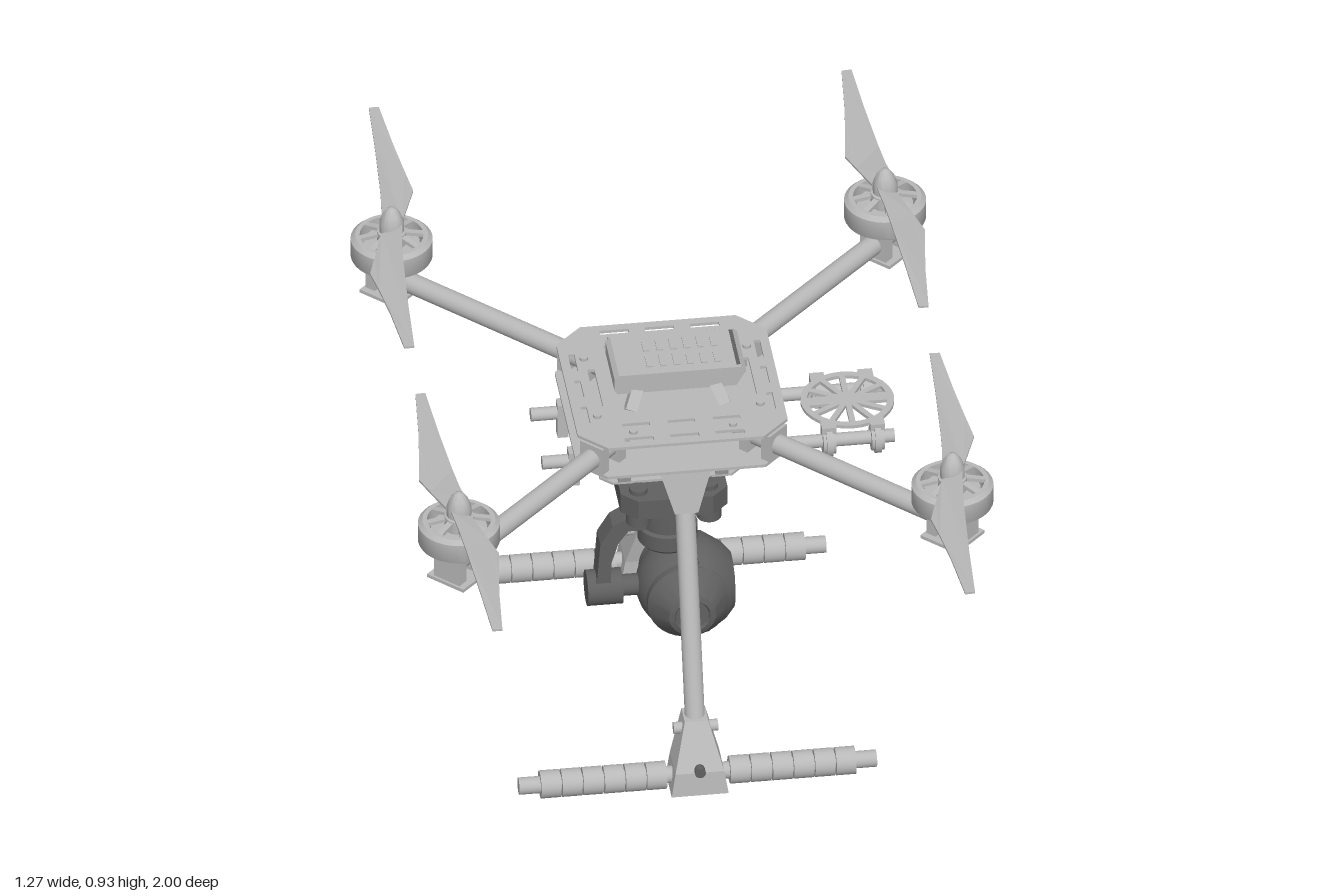
import * as THREE from 'three';
import { toCreasedNormals } from 'three/addons/utils/BufferGeometryUtils.js';

export function createModel() {
  const root = new THREE.Group();
  root.name = 'quadcopter';
  const mat = (name, color) => Object.assign(new THREE.MeshStandardMaterial({ color }), { name });
  const light = mat('light grey', 0xb8b8b8);
  const dark = mat('dark grey', 0x606060);

  const add = (name, geo, m = light, x = 0, y = 0, z = 0, parent = root) => {
    const mesh = new THREE.Mesh(geo, m);
    mesh.name = name;
    mesh.position.set(x, y, z);
    parent.add(mesh);
    return mesh;
  };
  const box = (name, w, h, d, x, y, z, m = light, parent = root) =>
    add(name, new THREE.BoxGeometry(w, h, d), m, x, y, z, parent);
  const cyl = (name, r, h, x, y, z, m = light, parent = root, r2 = r) =>
    add(name, new THREE.CylinderGeometry(r2, r, h, 28), m, x, y, z, parent);
  // Cylinder along x
  const cylX = (name, r, x0, x1, y, z, m = light, r2 = r) => {
    const c = cyl(name, r, x1 - x0, (x0 + x1) / 2, y, z, m, root, r2);
    c.rotation.z = -Math.PI / 2;
    return c;
  };
  // Round or square rod between two points
  const rod = (name, a, b, geoOf, m = light) => {
    const p = new THREE.Vector3(...a), q = new THREE.Vector3(...b);
    const mesh = add(name, geoOf(p.distanceTo(q)), m);
    mesh.position.copy(p).lerp(q, 0.5);
    mesh.quaternion.setFromUnitVectors(new THREE.Vector3(0, 1, 0), q.sub(p).normalize());
    return mesh;
  };
  const poly = pts => new THREE.Shape(pts.map(p => new THREE.Vector2(...p)));
  const extrude = (shape, depth) => new THREE.ExtrudeGeometry(shape, { depth, bevelEnabled: false, curveSegments: 16 });
  const flat = (shape, t) => extrude(shape, t).rotateX(-Math.PI / 2);
  const octagon = (a, b, c) => poly([[-a + c, -b], [a - c, -b], [a, -b + c], [a, b - c],
    [a - c, b], [-a + c, b], [-a, b - c], [-a, -b + c]]);
  const lathe = (pts, crease = 0.6) =>
    toCreasedNormals(new THREE.LatheGeometry(pts.map(p => new THREE.Vector2(...p)), 36), crease);
  // Box whose bottom and top have their own size and z position
  const taper = (name, [w0, d0, z0, y0], [w1, d1, z1, y1], m = light) => {
    const g = new THREE.BoxGeometry(1, 1, 1).toNonIndexed(), p = g.attributes.position;
    for (let i = 0; i < p.count; i++) {
      const up = p.getY(i) > 0;
      p.setXYZ(i, p.getX(i) * (up ? w1 : w0), up ? y1 : y0, p.getZ(i) * (up ? d1 : d0) + (up ? z1 : z0));
    }
    g.computeVertexNormals();
    return add(name, g, m);
  };
  const signs = [-1, 1];

  // Body plates, the upper one slotted along its edges
  const slot = (x, y, w, h) => new THREE.Path([[-w, -h], [-w, h], [w, h], [w, -h]]
    .map(([u, v]) => new THREE.Vector2(x + u, y + v)));
  const top = octagon(0.232, 0.232, 0.06);
  for (const s of signs) {
    for (const o of [-0.1, 0, 0.1]) {
      top.holes.push(slot(o, s * 0.205, 0.032, 0.007), slot(s * 0.205, o, 0.007, 0.032));
      top.holes.push(slot(o, s * 0.15, 0.03, 0.006));
    }
    top.holes.push(slot(s * 0.17, 0, 0.008, 0.07));
  }
  add('topPlate', flat(top, 0.007), light, 0, 0.785, 0);
  add('bottomPlate', flat(octagon(0.235, 0.235, 0.06), 0.007), light, 0, 0.711, 0);
  for (const s of signs) for (const t of [-0.11, 0.11]) {
    cyl('plateBolt', 0.009, 0.008, s * 0.18, 0.795, t);
    cyl('plateBolt', 0.009, 0.008, t, 0.795, s * 0.18);
  }

  // Top housing on four splayed feet
  add('topHousing', extrude(poly([[-0.137, 0.832], [-0.13, 0.823], [0.132, 0.823], [0.154, 0.86],
    [0.143, 0.871], [-0.127, 0.871], [-0.137, 0.862]]), 0.15), light, 0, 0, -0.075);
  for (let i = 0; i < 6; i++) for (const s of signs)
    box('vent', 0.014, 0.004, 0.04, -0.055 + i * 0.03, 0.872, s * 0.03);
  box('housingEndStrip', 0.008, 0.004, 0.13, 0.138, 0.871, 0, dark);
  for (const sx of signs) for (const sz of signs)
    rod('housingFoot', [sx * 0.105, 0.788, sz * 0.092], [sx * 0.085, 0.828, sz * 0.06],
      h => new THREE.BoxGeometry(0.026, h, 0.026));

  // Propeller: two opposite blades, pitched and thinning to the tip
  const bladeHalf = [[-0.02, 0.02], [-0.012, 0.08], [-0.006, 0.15], [0.004, 0.3], [0.012, 0.455],
    [0.034, 0.455], [0.046, 0.32], [0.058, 0.22], [0.068, 0.15], [0.05, 0.095], [0.026, 0.02]];
  const blade = (sx, sz, turn) => {
    const g = flat(poly(bladeHalf.map(([u, v]) => [-sx * u * turn, -sz * v * turn])), 0.005);
    const p = g.attributes.position;
    for (let i = 0; i < p.count; i++) {
      const v = Math.abs(p.getZ(i)), u = -sx * turn * p.getX(i);
      p.setY(i, p.getY(i) - (u - 0.02) * 0.4 * (1 - v / 0.5));
    }
    g.computeVertexNormals();
    return g;
  };

  // Four arms, each with body clamps, motor mount, motor and propeller
  for (const sx of signs) for (const sz of signs) {
    const X = sx * 0.545, Z = sz * 0.545, yaw = Math.atan2(sx, sz);
    rod('armTube', [sx * 0.13, 0.75, sz * 0.13], [sx * 0.57, 0.75, sz * 0.57],
      h => new THREE.CylinderGeometry(0.023, 0.023, h, 24));
    for (const d of [0.155, 0.198])
      box('armClamp', 0.062, 0.07, 0.024, sx * d, 0.75, sz * d).rotation.y = yaw;

    const unit = new THREE.Group();
    unit.name = 'motorUnit';
    unit.position.set(X, 0, Z);
    root.add(unit);
    const mount = new THREE.Group();
    mount.name = 'motorMount';
    mount.rotation.y = yaw;
    unit.add(mount);
    for (const y of [0.713, 0.787]) box('mountPlate', 0.1, 0.008, 0.1, 0, y, 0, light, mount);
    for (const z of [-0.032, 0.032]) box('mountClamp', 0.07, 0.07, 0.025, 0, 0.75, z, light, mount);

    cyl('motorBase', 0.055, 0.012, 0, 0.796, 0, light, unit);
    cyl('stator', 0.062, 0.03, 0, 0.822, 0, light, unit);
    add('motorBell', lathe([[0.07, 0.8], [0.088, 0.8], [0.09, 0.804], [0.09, 0.848], [0.08, 0.857],
      [0.07, 0.857], [0.07, 0.8]]), light, 0, 0, 0, unit);
    for (let i = 0; i < 8; i++) {
      const a = i * Math.PI / 4;
      const spoke = box('motorSpoke', 0.055, 0.008, 0.014, Math.cos(a) * 0.05, 0.857, -Math.sin(a) * 0.05, light, unit);
      spoke.rotation.set(0, a, -0.2);
    }
    add('propellerHub', lathe([[0, 0.835], [0.032, 0.835], [0.032, 0.868], [0.027, 0.87], [0.027, 0.893],
      [0.02, 0.912], [0.011, 0.925], [0, 0.93]]), light, 0, 0, 0, unit);
    for (const turn of signs) add('propellerBlade', blade(sx, sz, turn), light, 0, 0.873, 0, unit);
  }

  // Landing gear
  for (const s of signs) {
    rod('legTube', [0, 0.68, s * 0.185], [0, 0.05, s * 0.405], h => new THREE.CylinderGeometry(0.022, 0.022, h, 24));
    taper('legBracket', [0.052, 0.055, s * 0.21, 0.605], [0.116, 0.085, s * 0.178, 0.711]);
    taper('legFoot', [0.126, 0.095, s * 0.41, 0.004], [0.108, 0.09, s * 0.407, 0.06]);
    taper('legSocket', [0.108, 0.09, s * 0.407, 0.06], [0.052, 0.055, s * 0.37, 0.16]);
    for (const sx of signs) {
      const bolt = cylX('footBolt', 0.013, -0.012, 0.012, 0.135, s * 0.38);
      bolt.position.x = sx * 0.037;
    }
    const pivot = cyl('footPin', 0.012, 0.02, 0, 0.065, s * 0.452, dark);
    pivot.rotation.x = Math.PI / 2;
    cylX('skidTube', 0.019, -0.395, 0.395, 0.033, s * 0.41);
    for (const sx of signs) for (let i = 0; i < 6; i++) {
      const x = sx * (0.092 + i * 0.0468);
      cylX('skidSleeve', 0.031, x - 0.0218, x + 0.0218, 0.033, s * 0.41);
    }
  }

  // Accessory rails with clamps
  for (const s of signs) {
    const z = s * 0.092;
    cylX('railTube', 0.015, -0.3, 0.478, 0.668, z);
    for (const x of [-0.11, 0.15, 0.333, 0.44]) {
      cylX('railClamp', 0.03, x - 0.014, x + 0.014, 0.668, z);
      cylX('railClampRim', 0.036, x - 0.007, x + 0.007, 0.668, z);
      box('railClampTop', 0.032, 0.02, 0.03, x, 0.7, z);
    }
    box('railStop', 0.024, 0.085, 0.03, -0.23, 0.653, z);
    // Gimbal hangers
    for (const x of [-0.113, 0.102])
      rod('gimbalHanger', [x, 0.668, z], [x, 0.576, s * 0.05], h => new THREE.BoxGeometry(0.028, h, 0.018));
  }

  // Round accessory plate: rim with radial ribs
  const rim = new THREE.Shape().absarc(0, 0, 0.103, 0, Math.PI * 2);
  rim.holes.push(new THREE.Path().absarc(0, 0, 0.088, 0, Math.PI * 2));
  add('roundPlateRim', flat(rim, 0.008), light, 0.387, 0.702, 0);
  for (let i = 0; i < 6; i++)
    box('roundPlateRib', 0.184, 0.008, i ? 0.013 : 0.03, 0.387, 0.706, 0).rotation.y = i * Math.PI / 6;

  // Gimbal platform with dampers
  add('hangerPlate', flat(octagon(0.157, 0.06, 0.025), 0.006), light, -0.008, 0.571, 0);
  add('gimbalPlatform', flat(octagon(0.118, 0.118, 0.035), 0.048), dark, -0.007, 0.513, 0);
  for (const sx of signs) for (const sz of signs) {
    cyl('damper', 0.027, 0.03, sx * 0.078 - 0.007, 0.497, sz * 0.078, dark);
    cyl('damperCap', 0.02, 0.012, sx * 0.078 - 0.007, 0.566, sz * 0.078, dark);
  }
  add('yawMotor', lathe([[0, 0.375], [0.06, 0.375], [0.066, 0.382], [0.066, 0.418], [0.058, 0.422], [0.058, 0.45],
    [0.066, 0.454], [0.066, 0.48], [0.05, 0.485], [0.05, 0.52], [0, 0.52]]), dark, -0.01, 0, 0);
  add('gimbalArm', extrude(poly([[-0.05, 0.452], [-0.105, 0.452], [-0.135, 0.435], [-0.162, 0.39], [-0.172, 0.26],
    [-0.14, 0.26], [-0.137, 0.34], [-0.122, 0.39], [-0.1, 0.42], [-0.05, 0.42]]), 0.056), dark, 0, 0, -0.028);
  cylX('pitchMotor', 0.04, -0.19, -0.112, 0.258, 0, dark);
  cylX('pitchAxle', 0.024, -0.12, -0.05, 0.258, 0, dark);

  // Camera ball with front and rear pods and side cap
  add('cameraBall', new THREE.SphereGeometry(0.108, 32, 24), dark, 0.028, 0.252, 0);
  for (const s of signs) {
    const pod = add('cameraPod', lathe([[0, 0.03], [0.092, 0.03], [0.092, 0.075], [0.052, 0.128], [0.04, 0.132],
      [0.036, 0.126], [0, 0.126]]), dark, 0.028, 0.252, 0);
    pod.rotation.x = s * Math.PI / 2;
  }
  const cap = add('cameraSideCap', lathe([[0, 0.05], [0.112, 0.05], [0.112, 0.07], [0.085, 0.112], [0.062, 0.132],
    [0.052, 0.132], [0.05, 0.128], [0, 0.128]]), dark, 0, 0.252, 0);
  cap.rotation.z = -Math.PI / 2;
  cylX('cameraKnob', 0.008, 0.125, 0.138, 0.257, 0, dark);

  return root;
}
